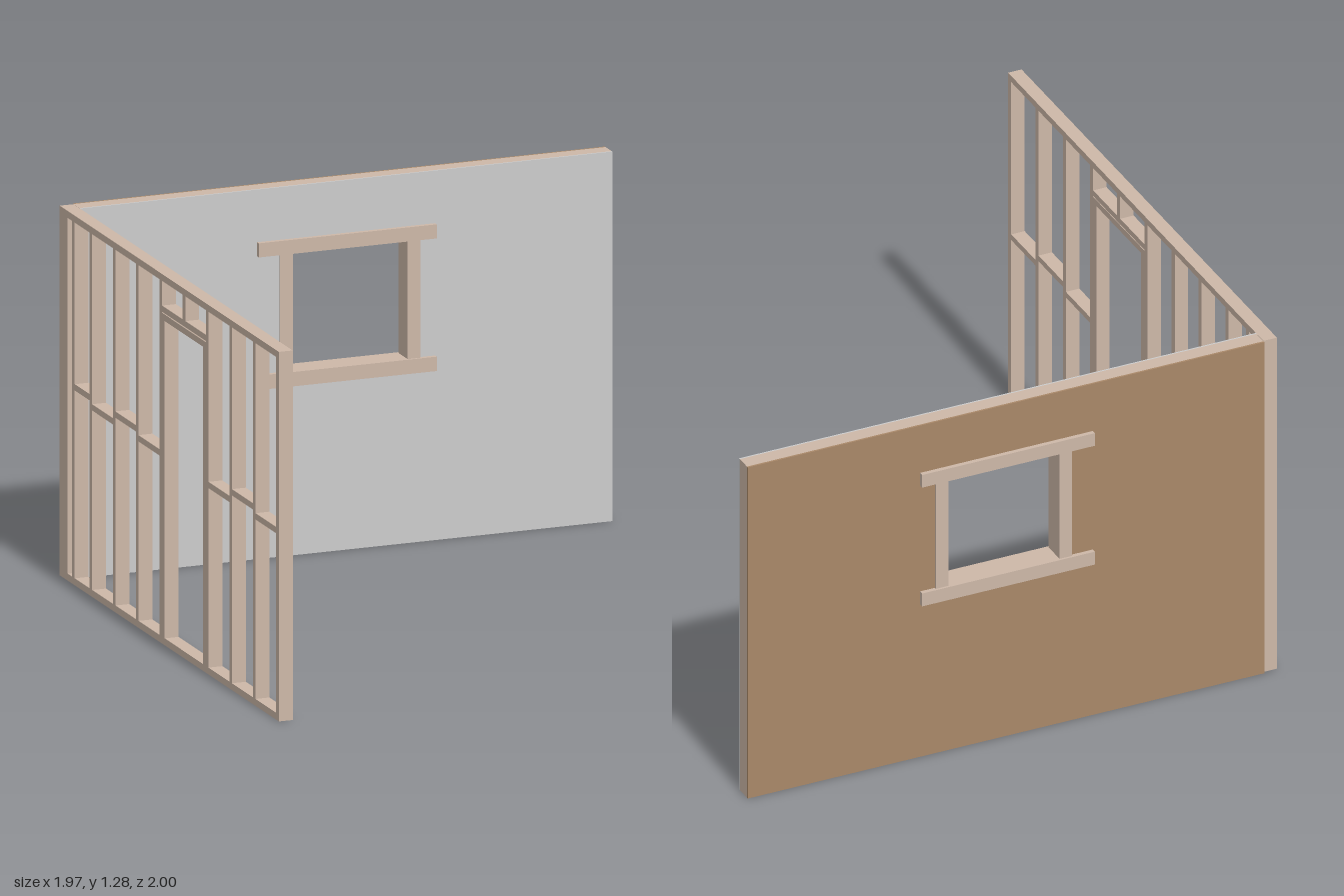
import * as THREE from 'three';

const timber = new THREE.MeshStandardMaterial({ color: 0xcdb8a8 });
const lining = new THREE.MeshStandardMaterial({ color: 0xcccccc });
const cladding = new THREE.MeshStandardMaterial({ color: 0xa98868 });

const H = 1.285; // wall height
const T = 0.024; // timber thickness

// Box given by its minimum and maximum on each axis
function bar(parent, name, [x0, x1], [y0, y1], [z0, z1]) {
  const mesh = new THREE.Mesh(new THREE.BoxGeometry(x1 - x0, y1 - y0, z1 - z0), timber);
  mesh.position.set((x0 + x1) / 2, (y0 + y1) / 2, (z0 + z1) / 2);
  mesh.name = name;
  parent.add(mesh);
}

// Sheet of the back wall with the window opening cut out
function sheet(parent, name, material, z0, z1) {
  const shape = new THREE.Shape([[-0.935, 0], [0.985, 0], [0.985, H], [-0.935, H]]
    .map(p => new THREE.Vector2(...p)));
  shape.holes.push(new THREE.Path([[-0.19, 0.615], [-0.19, 1.075], [0.265, 1.075], [0.265, 0.615]]
    .map(p => new THREE.Vector2(...p))));
  const geometry = new THREE.ExtrudeGeometry(shape, { depth: z1 - z0, bevelEnabled: false });
  const mesh = new THREE.Mesh(geometry, material);
  mesh.position.z = z0;
  mesh.name = name;
  parent.add(mesh);
}

function createBackWall() {
  const wall = new THREE.Group();
  wall.name = 'backWall';
  sheet(wall, 'wallCore', timber, -0.977, -0.922);
  sheet(wall, 'innerLining', lining, -0.922, -0.916);
  sheet(wall, 'outerCladding', cladding, -0.984, -0.977);

  // Window frame: long head and sill, with two jambs between them
  const frame = new THREE.Group();
  frame.name = 'windowFrame';
  bar(frame, 'windowHead', [-0.297, 0.345], [1.053, 1.102], [-1, -0.9]);
  bar(frame, 'windowSill', [-0.297, 0.345], [0.592, 0.642], [-1, -0.9]);
  bar(frame, 'leftJamb', [0.243, 0.29], [0.642, 1.053], [-0.992, -0.908]);
  bar(frame, 'rightJamb', [-0.217, -0.17], [0.642, 1.053], [-0.992, -0.908]);
  wall.add(frame);
  return wall;
}

function createFramedWall() {
  const wall = new THREE.Group();
  wall.name = 'framedWall';
  const x = [-0.986, -0.936];
  const at = z => [z - T / 2, z + T / 2];

  bar(wall, 'bottomPlate', x, [0, T], [-0.975, 1]);
  bar(wall, 'topPlate', x, [H - T, H], [-0.975, 1]);

  // Full-height studs, ending in a triple stud at the corner
  const front = [0.988, 0.777, 0.565, 0.354];
  const back = [-0.065, -0.277, -0.485, -0.694, -0.852];
  for (const z of [...front, ...back, -0.915, -0.939, -0.963]) {
    bar(wall, 'stud', x, [T, H - T], at(z));
  }

  // Staggered noggins between neighbouring studs
  for (const row of [front, back]) {
    for (let i = 0; i < row.length - 1; i++) {
      const y = i % 2 ? 0.677 : 0.648;
      bar(wall, 'noggin', x, [y, y + 0.022], [row[i + 1] + T / 2, row[i] - T / 2]);
    }
  }

  // Doorway: jack studs, doubled header and a short cripple stud
  for (const z of [0.33, -0.041]) bar(wall, 'jackStud', x, [T, 1.127], at(z));
  bar(wall, 'lowerHeader', x, [1.127, 1.15], [-0.053, 0.342]);
  bar(wall, 'upperHeader', x, [1.153, 1.175], [-0.053, 0.342]);
  bar(wall, 'crippleStud', x, [1.175, H - T], at(0.145));
  return wall;
}

export function createModel() {
  const model = new THREE.Group();
  model.name = 'wallFraming';
  model.add(createBackWall(), createFramedWall());
  return model;
}
